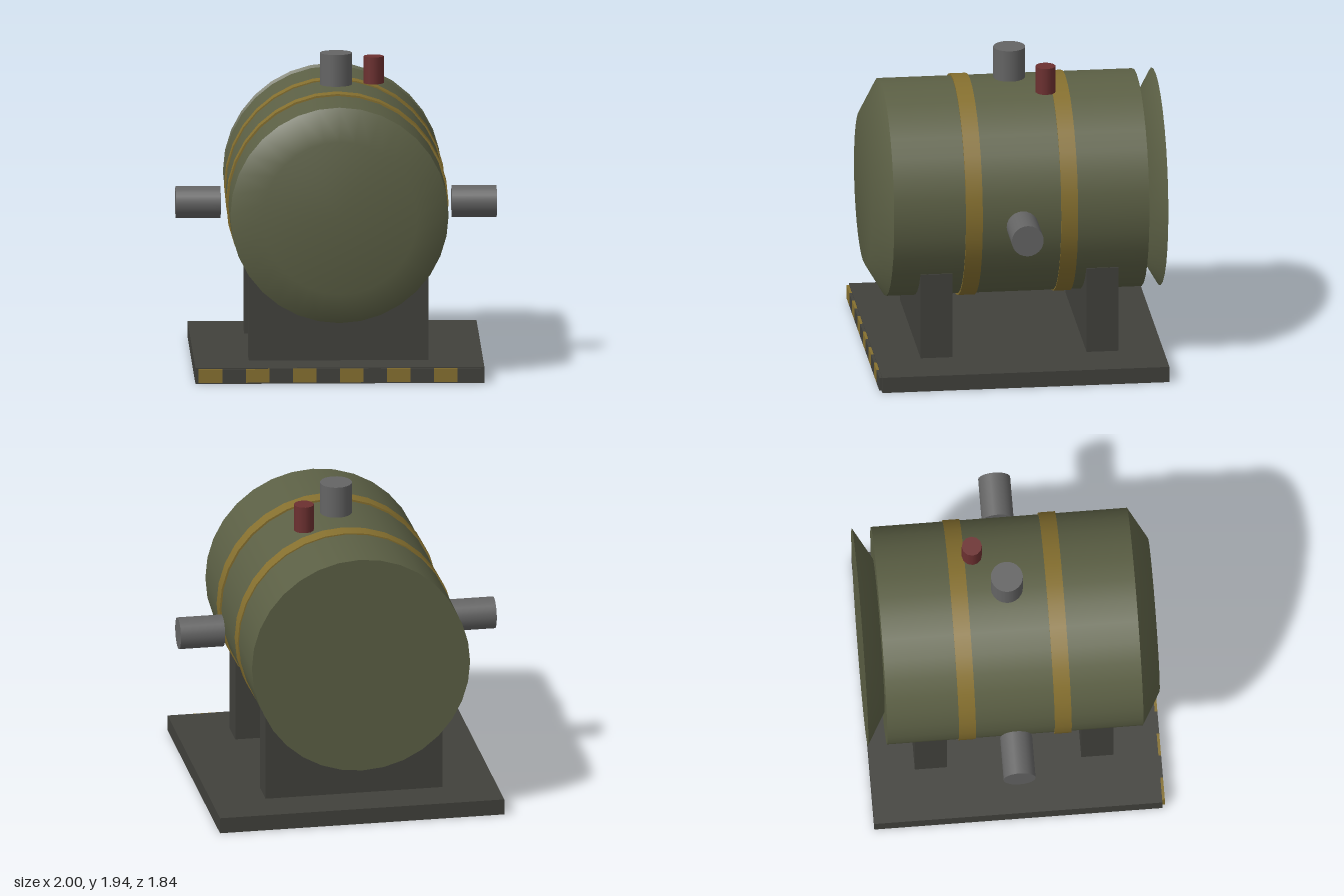
import * as THREE from 'three';

const mat = (name, color) => {
  const m = new THREE.MeshStandardMaterial({ color });
  m.name = name;
  return m;
};

export function createModel() {
  const olive = mat('olive', 0x5c6045);
  const yellow = mat('yellow', 0x86702f);
  const dark = mat('dark grey', 0x41413c);
  const steel = mat('steel', 0x646464);
  const red = mat('red', 0x6c3030);

  const model = new THREE.Group();
  model.name = 'tank';
  const add = (name, geometry, material, x, y, z) => {
    const mesh = new THREE.Mesh(geometry, material);
    mesh.name = name;
    mesh.position.set(x, y, z);
    model.add(mesh);
    return mesh;
  };

  const R = 0.68, CY = 1.044, SIDES = 32;
  // Cylinder lying along z
  const drum = (r, length) => new THREE.CylinderGeometry(r, r, length, SIDES).rotateX(Math.PI / 2);

  // Base plate with a hazard strip on its front edge
  add('basePlate', new THREE.BoxGeometry(1.8, 0.1, 1.8), dark, 0, 0.05, 0);
  const stripe = 1.76 / 12;
  for (let i = 0; i < 12; i++) {
    add('hazardStripe', new THREE.BoxGeometry(stripe, 0.085, 0.018),
      i % 2 ? dark : yellow, -0.88 + stripe * (i + 0.5), 0.052, 0.908);
  }

  // Saddles
  for (const s of [1, -1]) {
    add('saddle', new THREE.BoxGeometry(1.12, 0.56, 0.2), dark, 0, 0.37, s * 0.52);
  }

  // Vessel and straps
  add('vessel', drum(R, 1.6), olive, 0, CY, 0);
  add('frontStrap', drum(0.692, 0.105), yellow, 0, CY, 0.298);
  add('rearStrap', drum(0.688, 0.105), yellow, 0, CY, -0.3);

  // Shallow domed heads, both bulging forward; the rear one is closed by a disc
  const head = new THREE.LatheGeometry(
    [[R, 0], [0.481, 0.117], [0, 0.117]].map(([r, y]) => new THREE.Vector2(r, y)), SIDES
  ).rotateX(Math.PI / 2);
  add('frontHead', head, olive, 0, CY, 0.8);
  add('rearHead', head, olive, 0, CY, -0.919);
  add('rearDisc', new THREE.CircleGeometry(R, SIDES).rotateY(Math.PI), olive, 0, CY, -0.919);

  // Side nozzles
  for (const s of [1, -1]) {
    add('sideNozzle', new THREE.CylinderGeometry(0.1, 0.1, 0.28, 24).rotateZ(Math.PI / 2),
      steel, s * 0.86, 1, 0);
  }

  // Top nozzle and relief valve
  add('topNozzle', new THREE.CylinderGeometry(0.1, 0.1, 0.2, 24), steel, 0, 1.84, 0);
  add('reliefValve', new THREE.CylinderGeometry(0.063, 0.063, 0.17, 12), red, 0.24, 1.8, -0.2);

  return model;
}
